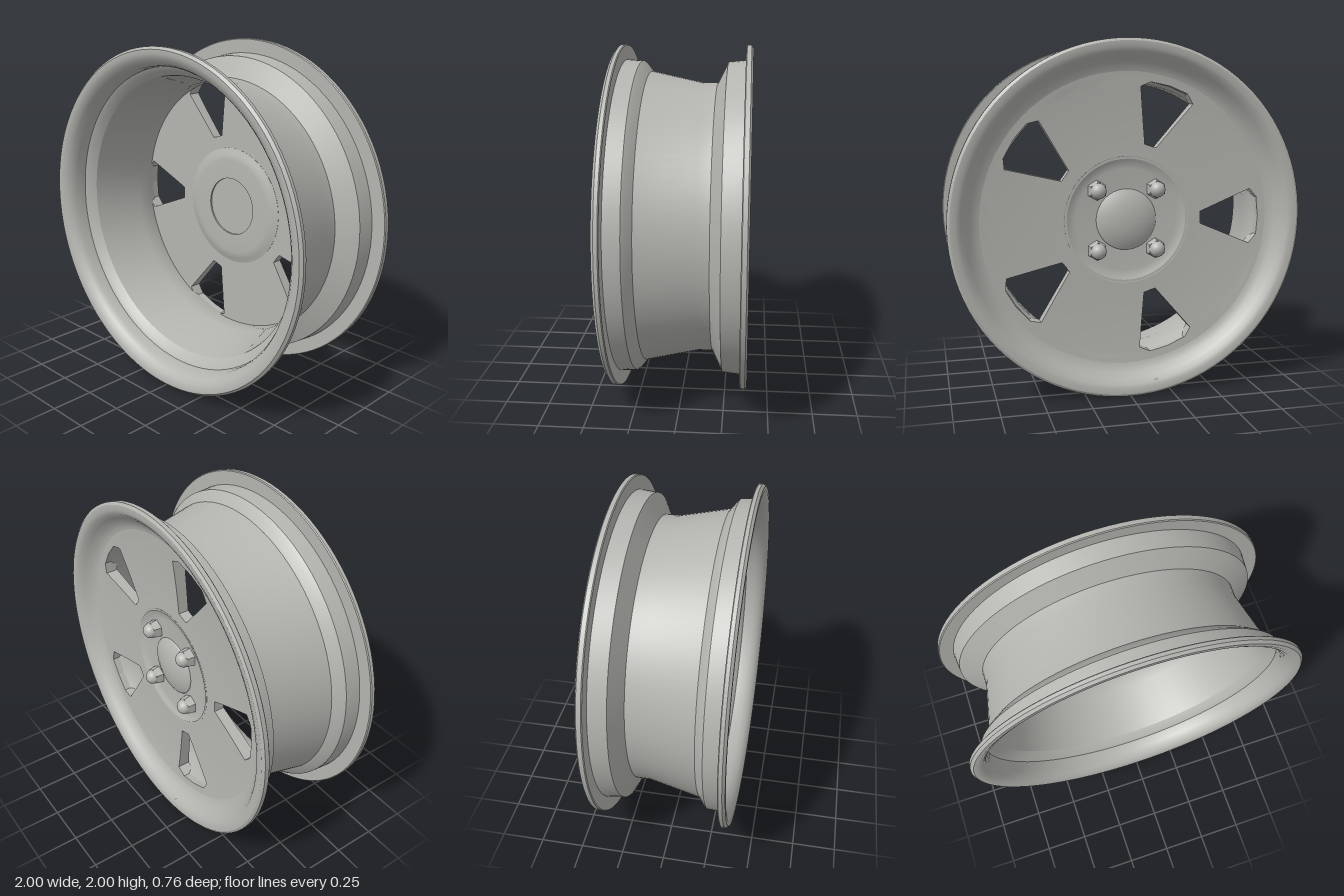
import * as THREE from 'three';
import { toCreasedNormals } from 'three/addons/utils/BufferGeometryUtils.js';

const metal = new THREE.MeshStandardMaterial({ color: 0xb4b4b0 });
metal.name = 'wheel grey';

function addMesh(parent, name, geometry) {
  const mesh = new THREE.Mesh(geometry, metal);
  mesh.name = name;
  parent.add(mesh);
  return mesh;
}

// Revolve [radius, z] points around the z axis
function revolve(points, crease = 0.45) {
  const g = new THREE.LatheGeometry(points.map(([r, z]) => new THREE.Vector2(r, z)), 96);
  g.rotateX(Math.PI / 2);
  return toCreasedNormals(g, crease);
}

// Slightly dished spoke disc: height of its outer face at a radius
const faceZ = (r) => -0.27 - 0.02 * Math.pow(Math.max(0, (r - 0.36) / 0.46), 2);
const backZ = () => -0.21;

// One spoke: a closed shell between two window edges
function spokeGeometry(start) {
  const sector = (Math.PI * 2) / 5, columns = 14;
  const rows = [[0.345, 0], [0.39, 0], [0.434, 0]];
  for (let i = 0; i <= 6; i++) {
    const u = 0.435 + (0.295 * i) / 6, v = 0.035 + (0.125 * i) / 6;
    rows.push([Math.hypot(u, v), Math.atan2(v, u)]);
  }
  rows.push([0.782, 0.14], [0.783, 0], [0.83, 0]);
  const pos = [];
  const point = (i, j, zAt) => {
    const [r, w] = rows[i];
    const a = start + w + ((sector - 2 * w) * j) / columns;
    return [r * Math.cos(a), r * Math.sin(a), zAt(r)];
  };
  const quad = (a, b, c, d) => pos.push(...a, ...b, ...c, ...a, ...c, ...d);
  for (let i = 0; i < rows.length - 1; i++) {
    for (let j = 0; j < columns; j++) {
      quad(point(i, j, backZ), point(i + 1, j, backZ), point(i + 1, j + 1, backZ), point(i, j + 1, backZ));
      quad(point(i, j, faceZ), point(i, j + 1, faceZ), point(i + 1, j + 1, faceZ), point(i + 1, j, faceZ));
    }
    // window walls
    if (rows[i][1] + rows[i + 1][1] > 0) {
      const n = columns;
      quad(point(i, 0, faceZ), point(i + 1, 0, faceZ), point(i + 1, 0, backZ), point(i, 0, backZ));
      quad(point(i, n, backZ), point(i + 1, n, backZ), point(i + 1, n, faceZ), point(i, n, faceZ));
    }
  }
  const g = new THREE.BufferGeometry();
  g.setAttribute('position', new THREE.Float32BufferAttribute(pos, 3));
  return toCreasedNormals(g, 0.5);
}

export function createModel() {
  const model = new THREE.Group();
  model.name = 'wheel';
  const wheel = new THREE.Group();
  wheel.name = 'wheelBody';
  wheel.position.y = 1;
  model.add(wheel);

  // Rim barrel with both flanges, as one closed section
  addMesh(wheel, 'rimBarrel', revolve([
    [0.955, -0.38], [0.985, -0.38], [1, -0.37], [1, -0.345], [0.995, -0.34],
    [0.915, -0.34], [0.905, -0.24], [0.785, -0.18], [0.785, -0.1],
    [0.85, 0.2], [0.895, 0.235], [0.908, 0.25], [0.915, 0.34],
    [0.995, 0.34], [1, 0.345], [1, 0.365], [0.985, 0.38],
    [0.96, 0.38], [0.93, 0.367], [0.907, 0.345], [0.89, 0.31],
    [0.885, 0.25], [0.86, 0.235], [0.83, 0.2], [0.765, -0.1], [0.765, -0.21],
    [0.8, -0.286], [0.84, -0.293], [0.875, -0.313], [0.905, -0.343], [0.93, -0.37], [0.955, -0.38],
  ]));

  // Five spokes leave five tapered windows
  for (let i = 0; i < 5; i++) {
    addMesh(wheel, 'spoke', spokeGeometry(Math.PI + (i * Math.PI * 2) / 5));
  }

  // Recessed hub pad
  addMesh(wheel, 'hubPad', revolve([
    [0, -0.25], [0.29, -0.25], [0.315, -0.253], [0.335, -0.261], [0.36, -0.271],
    [0.36, -0.209], [0.335, -0.201], [0.315, -0.193], [0.29, -0.19],
    [0.176, -0.19], [0.176, -0.2], [0, -0.2],
  ]));

  // Domed centre cap
  addMesh(wheel, 'centreCap', revolve([
    [0, -0.295], [0.05, -0.293], [0.1, -0.285], [0.145, -0.27], [0.17, -0.257], [0.175, -0.248],
  ]));

  // Four domed hexagonal nuts
  for (const sx of [-1, 1]) for (const sy of [-1, 1]) {
    const nut = new THREE.Group();
    nut.name = 'wheelNut';
    nut.position.set(sx * 0.17, sy * 0.17, -0.25);
    nut.rotation.x = -Math.PI / 2;
    const hex = new THREE.CylinderGeometry(0.05, 0.058, 0.05, 6);
    addMesh(nut, 'nutBase', toCreasedNormals(hex, 0.3)).position.y = 0.02;
    const dome = new THREE.SphereGeometry(0.045, 20, 8, 0, Math.PI * 2, 0, Math.PI / 2);
    addMesh(nut, 'nutDome', dome).position.y = 0.044;
    wheel.add(nut);
  }

  // Valve through the lower rim
  const valve = new THREE.Group();
  valve.name = 'valve';
  const from = new THREE.Vector3(-0.14, -0.83, -0.19), to = new THREE.Vector3(-0.15, -0.92, -0.365);
  const path = new THREE.LineCurve3(from, to);
  addMesh(valve, 'valveStem', new THREE.TubeGeometry(path, 1, 0.01, 10));
  const base = addMesh(valve, 'valveBase', new THREE.CylinderGeometry(0.018, 0.018, 0.04, 12));
  base.position.copy(from);
  base.quaternion.setFromUnitVectors(new THREE.Vector3(0, 1, 0), to.clone().sub(from).normalize());
  wheel.add(valve);

  return model;
}
